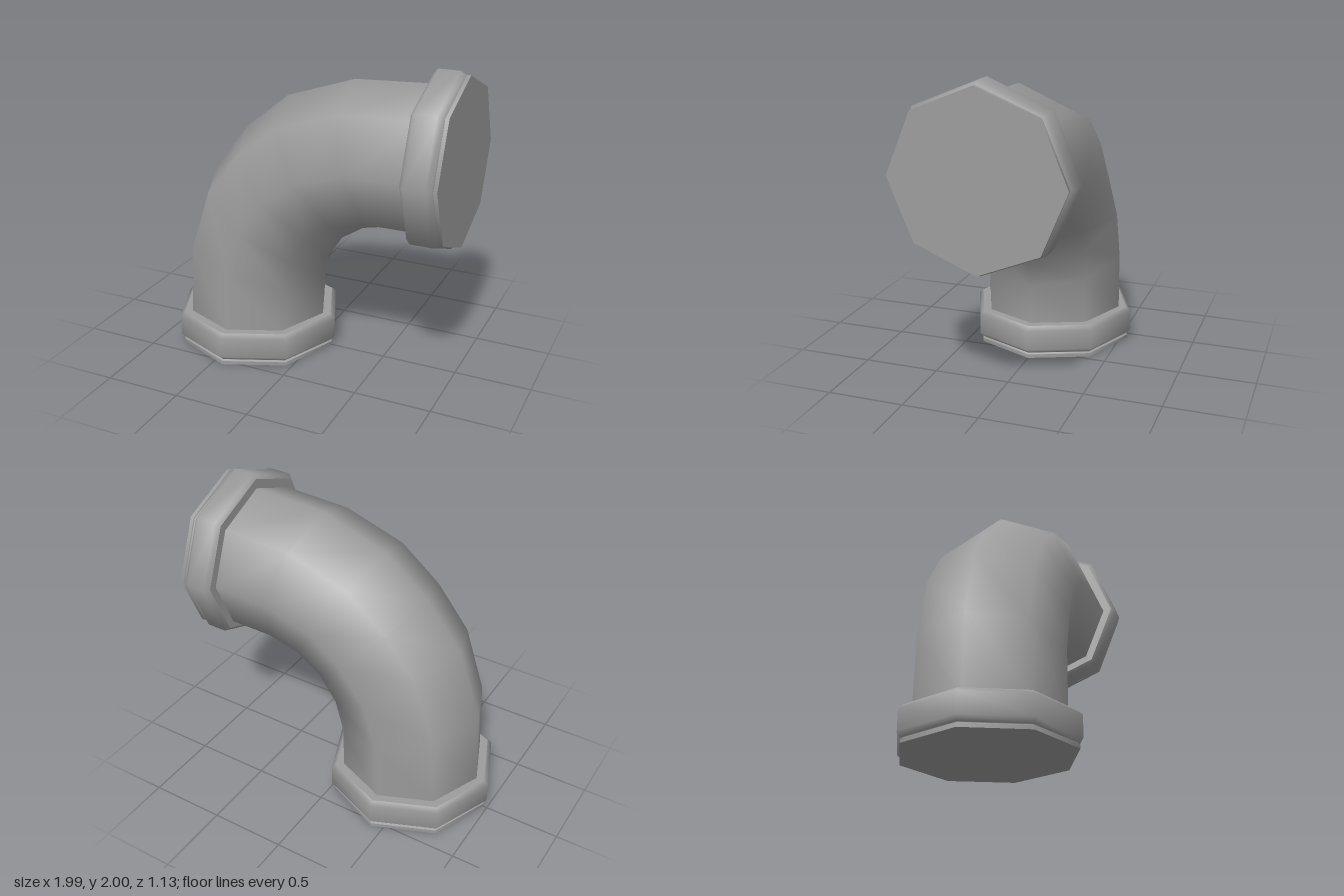
import * as THREE from 'three';

const SIDES = 8;
const material = new THREE.MeshStandardMaterial({ color: 0x9c9c9c });

// Smooth eight-sided ring from a profile of [radius, height] pairs
function ring(name, profile) {
  const points = profile.map(([r, y]) => new THREE.Vector2(r, y));
  const mesh = new THREE.Mesh(new THREE.LatheGeometry(points, SIDES), material);
  mesh.name = name;
  return mesh;
}

// Pipe end: capped lip, groove and rounded collar, opening towards +y
function createCollar(name) {
  const group = new THREE.Group();
  group.name = name;
  group.add(
    ring('endCap', [[0, 0], [0.546, 0]]),
    ring('lipEdge', [[0.546, 0], [0.546, 0.024]]),
    ring('groove', [[0.546, 0.024], [0.53, 0.03], [0.537, 0.036]]),
    ring('collarBand', [[0.537, 0.036], [0.566, 0.065], [0.566, 0.2], [0.537, 0.228]]),
    ring('collarShoulder', [[0.537, 0.228], [0.44, 0.228]]),
  );
  return group;
}

// Elbow skinned over cross-sections: outer x, outer y, inner x, inner y
function createElbow() {
  const sections = [
    [-0.908, 0.22, 0.054, 0.22],
    [-0.884, 0.73, 0.054, 0.49],
    [-0.728, 1.19, 0.092, 0.66],
    [-0.488, 1.487, 0.19, 0.81],
    [-0.193, 1.728, 0.335, 0.905],
    [0.267, 1.882, 0.505, 0.943],
    [0.775, 1.907, 0.775, 0.943],
  ];
  const positions = [];
  const normals = [];
  const indices = [];
  sections.forEach(([ox, oy, ix, iy], i) => {
    const outward = new THREE.Vector2(ox - ix, oy - iy).normalize();
    for (let k = 0; k < SIDES; k++) {
      const a = (k / SIDES) * Math.PI * 2;
      const c = Math.cos(a);
      const s = Math.sin(a);
      const t = (1 + c) / 2;
      positions.push(ix + (ox - ix) * t, iy + (oy - iy) * t, 0.481 * s);
      normals.push(outward.x * c, outward.y * c, s);
      if (i === sections.length - 1) continue;
      const p = i * SIDES + k;
      const q = i * SIDES + ((k + 1) % SIDES);
      indices.push(p, q, p + SIDES, q, q + SIDES, p + SIDES);
    }
  });
  const geometry = new THREE.BufferGeometry();
  geometry.setAttribute('position', new THREE.Float32BufferAttribute(positions, 3));
  geometry.setAttribute('normal', new THREE.Float32BufferAttribute(normals, 3));
  geometry.setIndex(indices);
  const mesh = new THREE.Mesh(geometry, material);
  mesh.name = 'elbowPipe';
  return mesh;
}

export function createModel() {
  const model = new THREE.Group();
  model.name = 'pipeElbow';

  const bottom = createCollar('bottomCollar');
  bottom.position.set(-0.427, 0, 0);

  // Side collar faces +x
  const side = createCollar('sideCollar');
  side.rotation.z = Math.PI / 2;
  side.position.set(0.993, 1.434, 0);

  model.add(createElbow(), bottom, side);
  return model;
}
